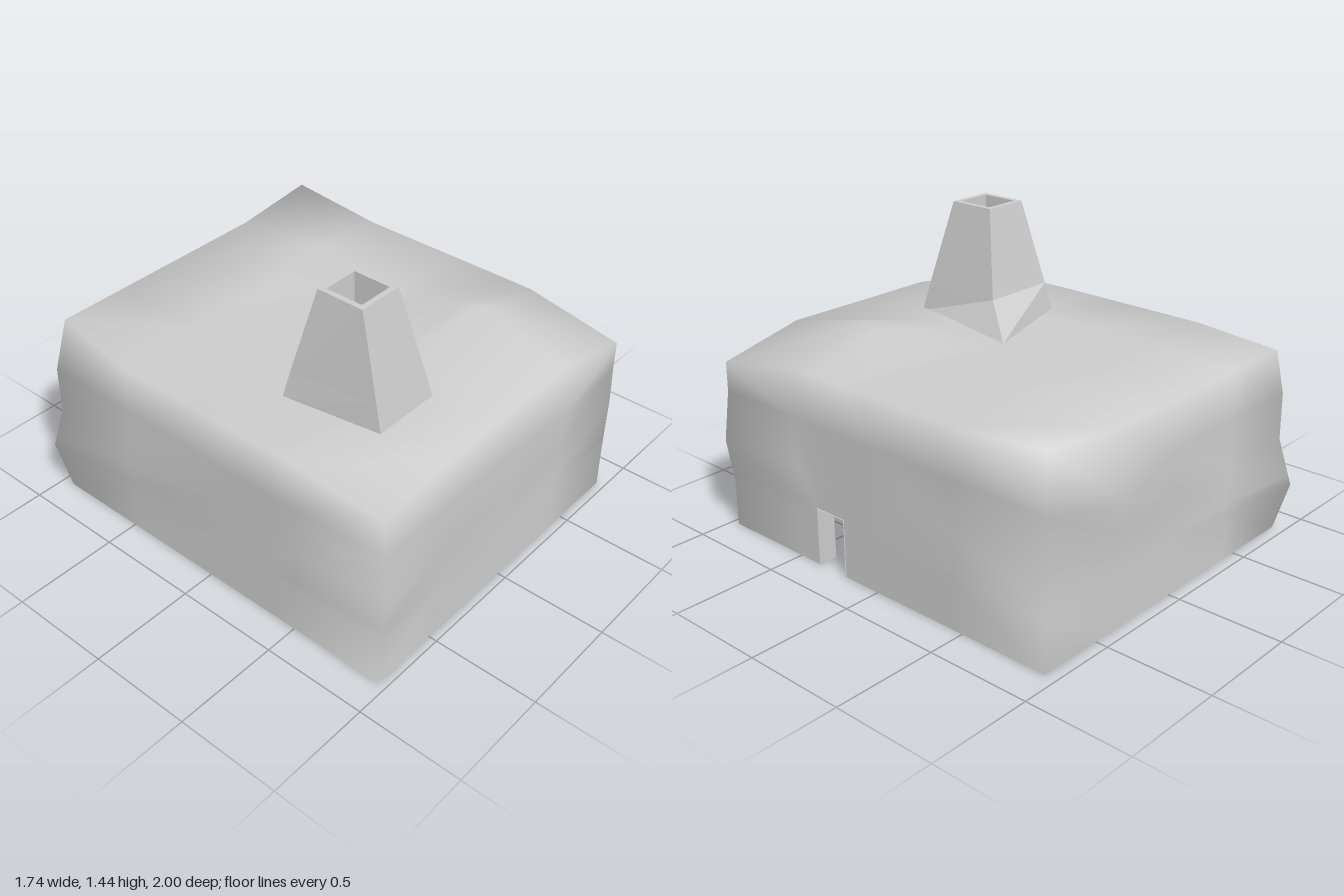
import * as THREE from 'three';
import { mergeVertices } from 'three/addons/utils/BufferGeometryUtils.js';

const material = (extra = {}) => new THREE.MeshStandardMaterial({ color: 0xcccccc, ...extra });

// Uneven lumps in the outer walls: grid point, then its offset
const bumps = [
  [[0.4, 0.91, 0.49], [0, 0.11, 0]],
  [[0.4, 0.91, -0.46], [0, 0.045, 0]],
  [[0.82, 0.91, -0.94], [0, 0.045, 0]],
  [[0.82, 0.91, 0.96], [0, -0.09, 0]],
  [[-0.84, 0.91, 0.96], [0.02, -0.05, -0.01]],
  [[-0.84, 0.91, -0.94], [0.08, 0, 0]],
  [[0.82, 0.455, 0.96], [0.05, 0, -0.02]],
  [[0.82, 0.455, -0.94], [-0.05, 0, 0]],
  [[-0.84, 0.455, 0.96], [0, 0, 0.04]],
  [[-0.84, 0.23, 0.96], [0.03, 0, 0]],
  [[-0.84, 0.68, 0.96], [0.03, 0, 0]],
  [[-0.84, 0.23, -0.94], [-0.03, 0, -0.06]],
  [[-0.84, 0.455, -0.46], [-0.03, -0.03, 0]],
  [[0.4, 0.68, -0.94], [0, -0.08, -0.05]],
  [[0.4, 0.68, 0.96], [0, 0, 0.025]],
];
const reach = [0.42, 0.23, 0.48];

function displace(p) {
  const out = [...p];
  for (const [at, offset] of bumps) {
    let w = 1;
    for (let k = 0; k < 3; k++) w *= Math.max(0, 1 - Math.abs(p[k] - at[k]) / reach[k]);
    for (let k = 0; k < 3; k++) out[k] += w * offset[k];
  }
  return out;
}

function geometryFrom(positions) {
  const g = new THREE.BufferGeometry();
  g.setAttribute('position', new THREE.Float32BufferAttribute(positions, 3));
  return g;
}

function quad(out, a, b, c, d, flip = false) {
  const order = flip ? [a, c, b, a, d, c] : [a, b, c, a, c, d];
  for (const p of order) out.push(...p);
}

// Doorway limits in the left wall
const door = { z0: 0.2, z1: 0.37, top: 0.28 };

// Five-sided open-bottomed shell on a grid, with the doorway cells left out
function shell(xs, ys, zs, inward, shape) {
  const out = [];
  const panel = (us, vs, map, flip, skip = () => false) => {
    for (let i = 0; i < us.length - 1; i++) {
      for (let j = 0; j < vs.length - 1; j++) {
        if (skip(us[i], vs[j])) continue;
        const p = (u, v) => shape(map(u, v));
        quad(out, p(us[i], vs[j]), p(us[i + 1], vs[j]),
          p(us[i + 1], vs[j + 1]), p(us[i], vs[j + 1]), flip !== inward);
      }
    }
  };
  const isDoor = (z, y) => z === door.z0 && y < door.top;
  panel(xs, ys, (x, y) => [x, y, zs.at(-1)], false);
  panel(xs, ys, (x, y) => [x, y, zs[0]], true);
  panel(zs, ys, (z, y) => [xs[0], y, z], false);
  panel(zs, ys, (z, y) => [xs.at(-1), y, z], true, isDoor);
  panel(xs, zs, (x, z) => [x, ys.at(-1), z], true);
  return geometryFrom(out);
}

export function createModel() {
  const group = new THREE.Group();
  const add = (name, geometry, mat) => {
    geometry.computeVertexNormals();
    const mesh = new THREE.Mesh(geometry, mat);
    mesh.name = name;
    group.add(mesh);
  };

  // Lumpy, softly shaded outer walls and roof
  const outer = shell([-0.84, -0.42, 0, 0.4, 0.82], [0, 0.23, 0.28, 0.455, 0.68, 0.91],
    [-0.94, -0.46, 0.02, 0.2, 0.37, 0.49, 0.96], false, displace);
  add('outerWalls', mergeVertices(outer, 1e-4), material());

  // Plain box-shaped room
  add('innerRoom', shell([-0.75, 0.73], [0, door.top, 0.82],
    [-0.85, door.z0, door.z1, 0.87], true, (p) => p), material());

  // Underside of the walls, broken at the doorway
  const rim = new THREE.Shape([
    [0.82, 0.37], [0.82, 0.96], [-0.84, 0.96], [-0.84, -0.94], [0.82, -0.94], [0.82, 0.2],
    [0.73, 0.2], [0.73, -0.85], [-0.75, -0.85], [-0.75, 0.87], [0.73, 0.87], [0.73, 0.37],
  ].map(([x, z]) => new THREE.Vector2(x, z)));
  add('wallBase', new THREE.ShapeGeometry(rim).rotateX(Math.PI / 2), material());

  // Jambs and lintel through the wall thickness
  const reveal = [];
  const path = [[0, door.z0], [door.top, door.z0], [door.top, door.z1], [0, door.z1]];
  for (let i = 0; i < 3; i++) {
    const [[y0, z0], [y1, z1]] = [path[i], path[i + 1]];
    quad(reveal, [0.73, y0, z0], [0.825, y0, z0], [0.825, y1, z1], [0.73, y1, z1]);
  }
  add('doorReveal', geometryFrom(reveal), material({ side: THREE.DoubleSide }));

  // Tapered chimney with a flared back corner and a square flue
  const rings = [
    [[-0.54, 0.9, 0.18], [-0.47, 0.9, 0.65], [-0.13, 0.9, 0.65], [-0.01, 0.91, 0.02]],
    [[-0.52, 1.04, 0.21], [-0.465, 1.04, 0.62], [-0.155, 1.04, 0.62], [-0.15, 1.04, 0.21]],
    [[-0.45, 1.44, 0.3], [-0.45, 1.44, 0.53], [-0.23, 1.44, 0.53], [-0.23, 1.44, 0.3]],
    [[-0.425, 1.44, 0.325], [-0.425, 1.44, 0.505], [-0.255, 1.44, 0.505], [-0.255, 1.44, 0.325]],
  ];
  rings.push(rings[3].map(([x, , z]) => [x, 0.92, z]));
  const stack = [];
  for (let i = 0; i < rings.length - 1; i++) {
    for (let j = 0; j < 4; j++) {
      const k = (j + 1) % 4;
      quad(stack, rings[i][j], rings[i][k], rings[i + 1][k], rings[i + 1][j]);
    }
  }
  quad(stack, ...rings.at(-1));
  add('chimney', geometryFrom(stack), material({ flatShading: true }));

  return group;
}
